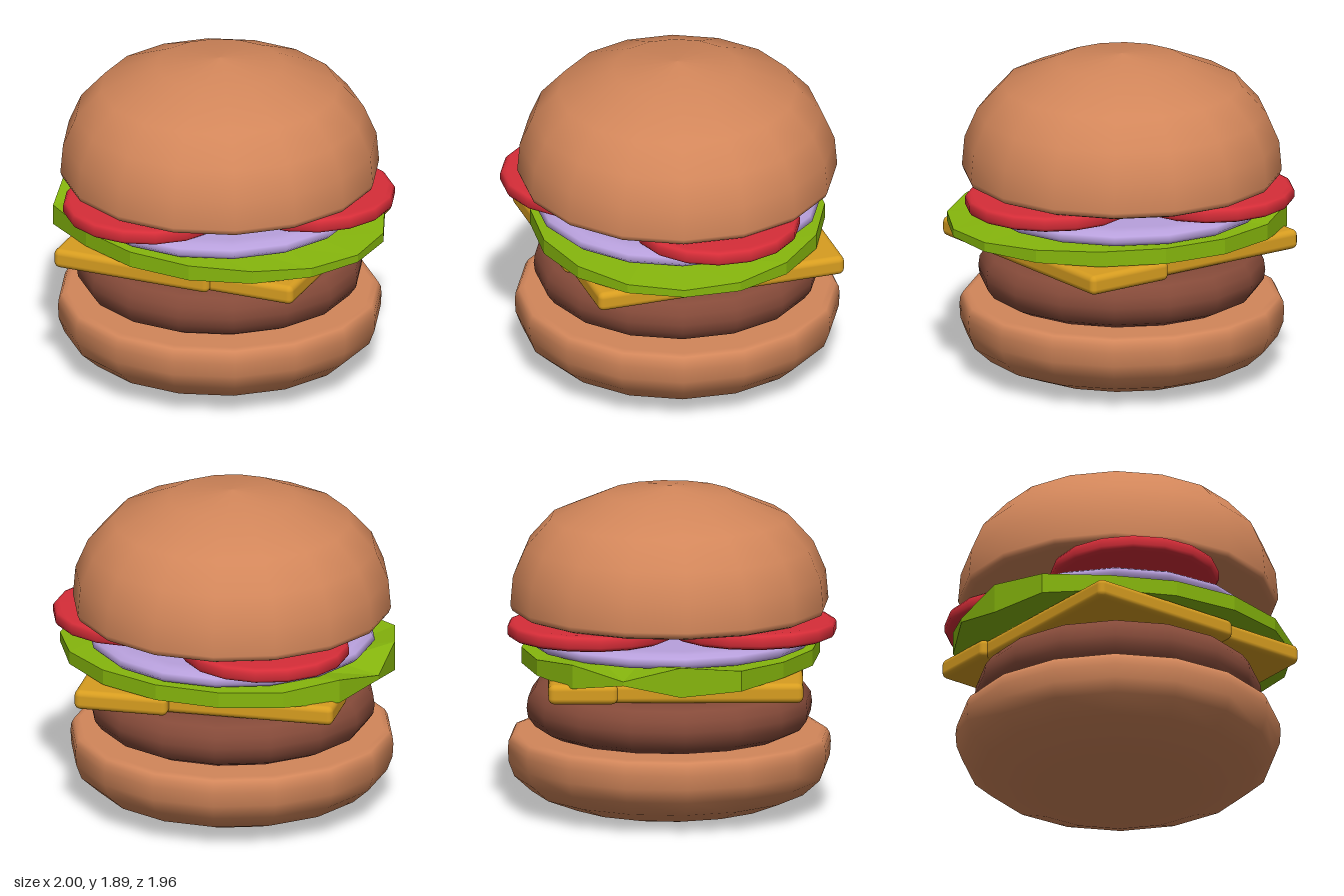
import * as THREE from 'three';
import { RoundedBoxGeometry } from 'three/addons/geometries/RoundedBoxGeometry.js';

const SIDES = 16;
const CX = -0.03, CZ = -0.045; // shared axis of the stack

const material = (name, color) => {
  const m = new THREE.MeshStandardMaterial({ color });
  m.name = name;
  return m;
};

function addMesh(parent, name, geometry, mat, x = 0, y = 0, z = 0) {
  const mesh = new THREE.Mesh(geometry, mat);
  mesh.name = name;
  mesh.position.set(x, y, z);
  parent.add(mesh);
  return mesh;
}

// Round part from a bottom-to-top profile of [radius, height]
const turned = (profile) =>
  new THREE.LatheGeometry(profile.map(([r, y]) => new THREE.Vector2(r, y)), SIDES);

// Faceted leaf: flat middle, rim with its own scale, top and bottom heights
function lettuceGeometry() {
  const rimAt = (i) => {
    if (i === 8) return [1.0, 0.92, 0.895]; // pointed tip of the fold
    if (i === 7) return [1.0, 1.005, 0.83];
    if (i === 9) return [1.0, 0.985, 0.845];
    if (i === 6) return [1.06, 0.97, 0.85];
    const slope = Math.max(0, Math.cos((i / SIDES) * Math.PI * 2));
    return [1, 0.958 - 0.028 * slope ** 3, 0.865 + 0.02 * slope ** 3];
  };
  const pos = [], index = [];
  for (let i = 0; i < SIDES; i++) {
    const a = (i / SIDES) * Math.PI * 2;
    const [s, top, bottom] = rimAt(i);
    const x = Math.cos(a), z = Math.sin(a) * 0.85;
    pos.push(x * 0.7, 0.955, z * 0.7 + CZ, x * s, top, z * s + CZ);
    pos.push(x * s, bottom, z * s + CZ, x * 0.7, 0.868, z * 0.7 + CZ);
  }
  pos.push(0, 0.955, CZ, 0, 0.868, CZ);
  const topC = SIDES * 4, botC = topC + 1;
  for (let i = 0; i < SIDES; i++) {
    const a = i * 4, b = ((i + 1) % SIDES) * 4;
    index.push(topC, b, a, botC, a + 3, b + 3);
    for (let k = 0; k < 3; k++) {
      index.push(a + k, b + k, a + k + 1, b + k, b + k + 1, a + k + 1);
    }
  }
  const indexed = new THREE.BufferGeometry();
  indexed.setAttribute('position', new THREE.Float32BufferAttribute(pos, 3));
  indexed.setIndex(index);
  const g = indexed.toNonIndexed();
  g.computeVertexNormals();
  return g;
}

export function createModel() {
  const group = new THREE.Group();
  group.name = 'hamburger';
  const bun = material('bun', 0xd2865a);
  const meat = material('meat', 0x854a39);
  const cheese = material('cheese', 0xd79d20);
  const leaf = material('lettuce', 0x86b60d);
  const onion = material('onion', 0xb8a0dc);
  const tomato = material('tomato', 0xd62d38);

  // Buns and patty
  addMesh(group, 'bottomBun', turned([
    [0, 0], [0.48, 0.002], [0.61, 0.03], [0.8, 0.105], [0.9, 0.195], [0.932, 0.28],
    [0.937, 0.36], [0.932, 0.405], [0.915, 0.435], [0.88, 0.444], [0, 0.444],
  ]), bun, CX, 0, CZ);
  addMesh(group, 'patty', turned([
    [0, 0.444], [0.7, 0.446], [0.78, 0.485], [0.82, 0.54], [0.828, 0.595],
    [0.82, 0.655], [0.78, 0.71], [0.7, 0.744], [0, 0.746],
  ]), meat, CX, 0, CZ);
  addMesh(group, 'topBun', turned([
    [0, 1.155], [0.88, 1.156], [0.91, 1.168], [0.923, 1.2], [0.908, 1.37],
    [0.835, 1.54], [0.69, 1.7], [0.37, 1.838], [0, 1.886],
  ]), bun, CX, 0, CZ);

  // Overlapping cheese slices: [u min, u max, v min, v max] on a turned square
  const slices = new THREE.Group();
  slices.name = 'cheeseSlices';
  slices.position.set(-0.02, 0.803, -0.05);
  slices.rotation.y = 0.284;
  group.add(slices);
  [
    [0.2, 0.75, -0.765, 0.73],
    [-0.73, 0.24, -0.4, 0.77],
    [-0.765, 0.3, -0.7, -0.3],
  ].forEach(([u0, u1, v0, v1]) => {
    addMesh(slices, 'cheeseSlice', new RoundedBoxGeometry(u1 - u0, 0.116, v1 - v0, 3, 0.035),
      cheese, (u0 + u1) / 2, 0, (v0 + v1) / 2);
  });

  // Lettuce and onion
  addMesh(group, 'lettuce', lettuceGeometry(), leaf);
  addMesh(group, 'onionSlice', turned([
    [0, 0.956], [0.74, 0.957], [0.8, 0.968], [0.83, 0.995], [0.815, 1.025],
    [0.78, 1.045], [0.72, 1.054], [0, 1.054],
  ]), onion, CX, 0, CZ);

  // Three tomato slices
  const slice = turned([
    [0, 1.058], [0.45, 1.058], [0.475, 1.068], [0.487, 1.085], [0.487, 1.125],
    [0.475, 1.142], [0.45, 1.152], [0, 1.152],
  ]);
  [[-0.135, 0.485], [0.485, -0.245], [-0.445, -0.395]].forEach(([x, z]) => {
    addMesh(group, 'tomatoSlice', slice, tomato, x, 0, z);
  });

  return group;
}
